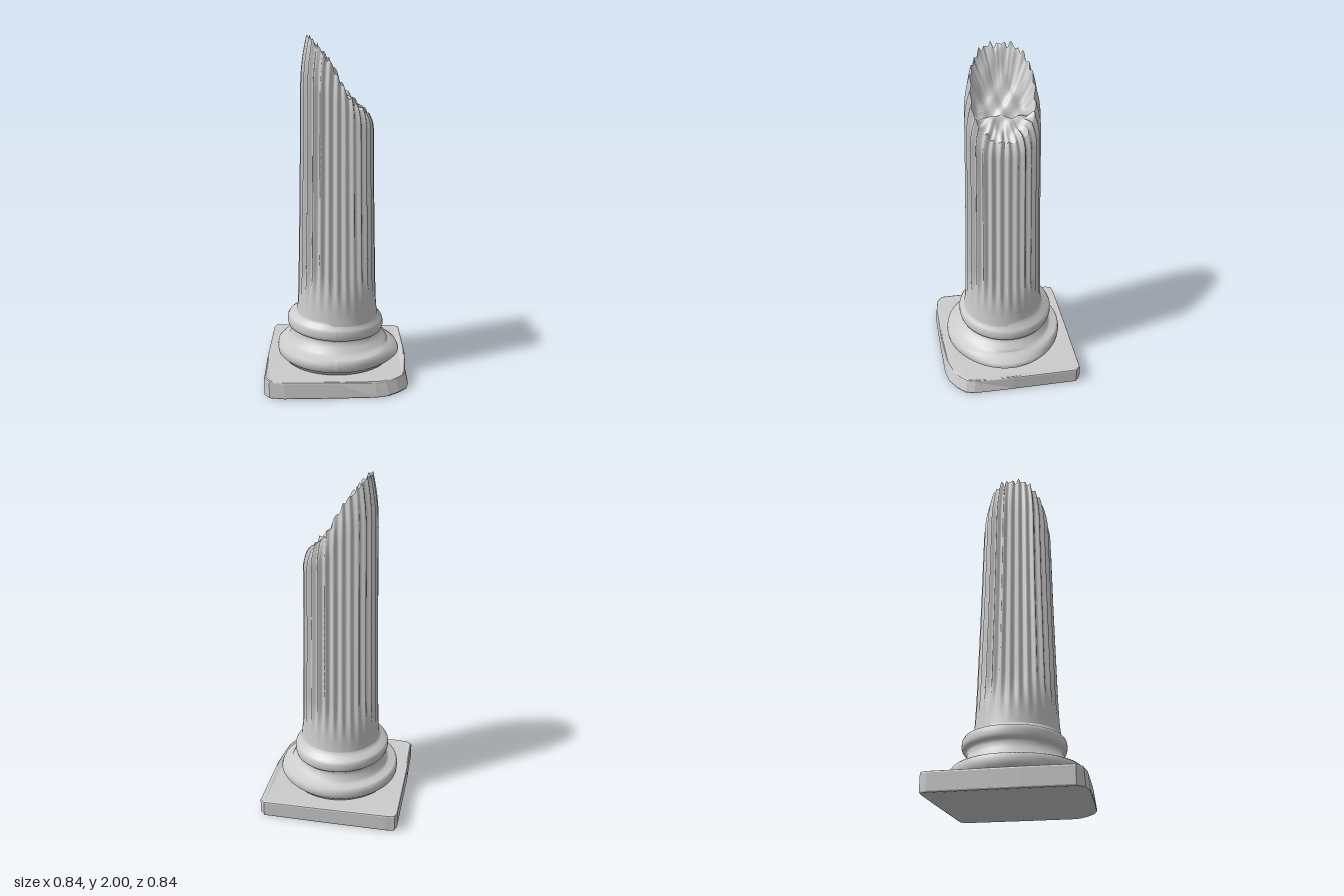
import * as THREE from 'three';

const stone = new THREE.MeshStandardMaterial({ color: 0xcccccc });
const FLUTES = 28, COLS = FLUTES * 8;
const { smoothstep, lerp } = THREE.MathUtils;

// Linear interpolation through [input, output] pairs
function curve(points, v) {
  if (v <= points[0][0]) return points[0][1];
  for (let i = 1; i < points.length; i++) {
    const [a, fa] = points[i - 1], [b, fb] = points[i];
    if (v <= b) return lerp(fa, fb, (v - a) / (b - a));
  }
  return points[points.length - 1][1];
}

// Closed ring surface: point(angle, t) for t from 0 to 1, counted outward from the bottom
function ringSurface(rows, point) {
  const pos = [], index = [];
  for (let j = 0; j <= rows; j++)
    for (let i = 0; i < COLS; i++) pos.push(...point((i / COLS) * Math.PI * 2, j / rows));
  for (let j = 0; j < rows; j++)
    for (let i = 0; i < COLS; i++) {
      const n = (i + 1) % COLS, a = j * COLS + i, b = j * COLS + n, c = a + COLS, d = b + COLS;
      index.push(a, c, b, b, c, d);
    }
  const g = new THREE.BufferGeometry();
  g.setAttribute('position', new THREE.Float32BufferAttribute(pos, 3));
  g.setIndex(index);
  g.computeVertexNormals();
  return g;
}

// Slanting height of the broken rim and of the hollow inside it, from -x to +x
const RIM = [[-0.17, 1.985], [-0.1, 1.92], [-0.04, 1.855], [0, 1.79], [0.05, 1.7], [0.1, 1.64], [0.19, 1.56]];
const HOLLOW = [[-0.17, 1.98], [-0.11, 1.85], [-0.04, 1.74], [0.035, 1.645], [0.06, 1.665], [0.12, 1.62], [0.19, 1.56]];
const RADIUS = [[0.36, 0.246], [0.42, 0.237], [0.6, 0.23], [1.2, 0.216], [1.7, 0.208], [2, 0.2]];

function rimHeight(a) {
  const jag = 0.012 * Math.sin(FLUTES * a + 1) + 0.008 * Math.sin(17 * a) + 0.006 * Math.sin(41 * a + 2);
  return curve(RIM, 0.19 * Math.cos(a)) + jag * 0.8;
}

function shaftPoint(a, t) {
  const top = rimHeight(a), y = lerp(0.36, top, 1 - Math.pow(1 - t, 1.5));
  const high = (1 - Math.cos(a)) / 2;
  // the flutes fade in above the foot, and the shaft rounds in at the break
  const flute = 0.02 * smoothstep(y, 0.42, 0.7) * Math.pow(0.5 - 0.5 * Math.cos(FLUTES * a), 0.8);
  const near = Math.max(0, 1 - (top - y) / lerp(0.09, 0.26, high));
  const r = curve(RADIUS, y) - flute * (1 - 0.5 * near) - 0.028 * near * near;
  return [r * Math.cos(a), y, -r * Math.sin(a)];
}

function breakPoint(a, t) {
  const s = 1 - t, [rx, ry, rz] = shaftPoint(a, 1);
  const x = rx * s, z = rz * s;
  const rough = 0.014 * Math.sin(38 * x + 21 * z) * Math.sin(47 * z + 1) + 0.007 * Math.sin(70 * x - 55 * z);
  const floor = curve(HOLLOW, x) + rough + 0.25 * z * z;
  return [x, lerp(floor, ry, Math.pow(s, 5)), z];
}

// Worn round mouldings between plinth and shaft
function makeBase() {
  const profile = [
    [0.28, 0.09], [0.325, 0.105], [0.332, 0.122], [0.345, 0.128], [0.357, 0.14], [0.36, 0.165], [0.356, 0.19],
    [0.342, 0.201], [0.305, 0.204], [0.292, 0.22], [0.272, 0.245], [0.262, 0.27], [0.268, 0.282], [0.284, 0.288],
    [0.289, 0.305], [0.288, 0.335], [0.278, 0.353], [0.252, 0.368], [0.241, 0.39], [0.23, 0.43],
  ].map(([r, y]) => new THREE.Vector2(r, y));
  const g = new THREE.LatheGeometry(profile, 96);
  const p = g.attributes.position;
  for (let i = 0; i < p.count; i++) {
    let x = p.getX(i), y = p.getY(i), z = p.getZ(i);
    const side = Math.max(0, x / Math.hypot(x, z));
    // the lower roll slumps outward on +x, the upper one sits a little off centre
    if (y > 0.12 && y < 0.203) x += side ** 4 * lerp(0.02, -0.045, smoothstep(y, 0.15, 0.2));
    const upper = smoothstep(y, 0.2, 0.3) * (1 - smoothstep(y, 0.35, 0.39));
    x -= 0.01 * upper;
    z -= 0.014 * upper;
    y -= 0.045 * upper * x;
    p.setXYZ(i, x, y, z);
  }
  g.computeVertexNormals();
  return g;
}

// Square slab with broken corners, most of all the front one on +x
function makePlinth() {
  const outline = [
    [-0.405, -0.375], [-0.395, -0.405], [-0.35, -0.41], [0, -0.413], [0.385, -0.413], [0.408, -0.39], [0.41, 0],
    [0.408, 0.24], [0.395, 0.29], [0.35, 0.335], [0.29, 0.375], [0.22, 0.393], [0, 0.402], [-0.3, 0.408],
    [-0.38, 0.395], [-0.408, 0.36], [-0.412, 0.1],
  ].map(([x, z]) => new THREE.Vector2(x, -z));
  const g = new THREE.ExtrudeGeometry(new THREE.Shape(outline), {
    depth: 0.085, bevelEnabled: true, bevelThickness: 0.01, bevelSize: 0.009, bevelSegments: 2,
  });
  g.rotateX(-Math.PI / 2).translate(0, 0.01, 0);
  const p = g.attributes.position;
  for (let i = 0; i < p.count; i++) {
    const x = p.getX(i), y = p.getY(i), z = p.getZ(i);
    if (y < 0.06) continue;
    const chip = smoothstep(x + z, 0.55, 0.7);
    const worn = smoothstep(z, 0.36, 0.42);
    p.setXYZ(i, x * (1 - 0.05 * chip), y - 0.012 * x - 0.015 * chip - 0.008 * worn, z * (1 - 0.05 * chip - 0.02 * worn));
  }
  g.computeVertexNormals();
  return g;
}

export function createModel() {
  const group = new THREE.Group();
  group.name = 'brokenColumn';
  const parts = {
    plinth: makePlinth(),
    baseMouldings: makeBase(),
    flutedShaft: ringSurface(40, shaftPoint),
    brokenTop: ringSurface(28, breakPoint),
  };
  for (const [name, geometry] of Object.entries(parts)) {
    // ring surfaces run anticlockwise from above, so flip them to face outward
    if (geometry.index && name !== 'baseMouldings') {
      const ix = geometry.index.array;
      for (let i = 0; i < ix.length; i += 3) [ix[i + 1], ix[i + 2]] = [ix[i + 2], ix[i + 1]];
      geometry.computeVertexNormals();
    }
    const mesh = new THREE.Mesh(geometry, stone);
    mesh.name = name;
    group.add(mesh);
  }
  return group;
}
